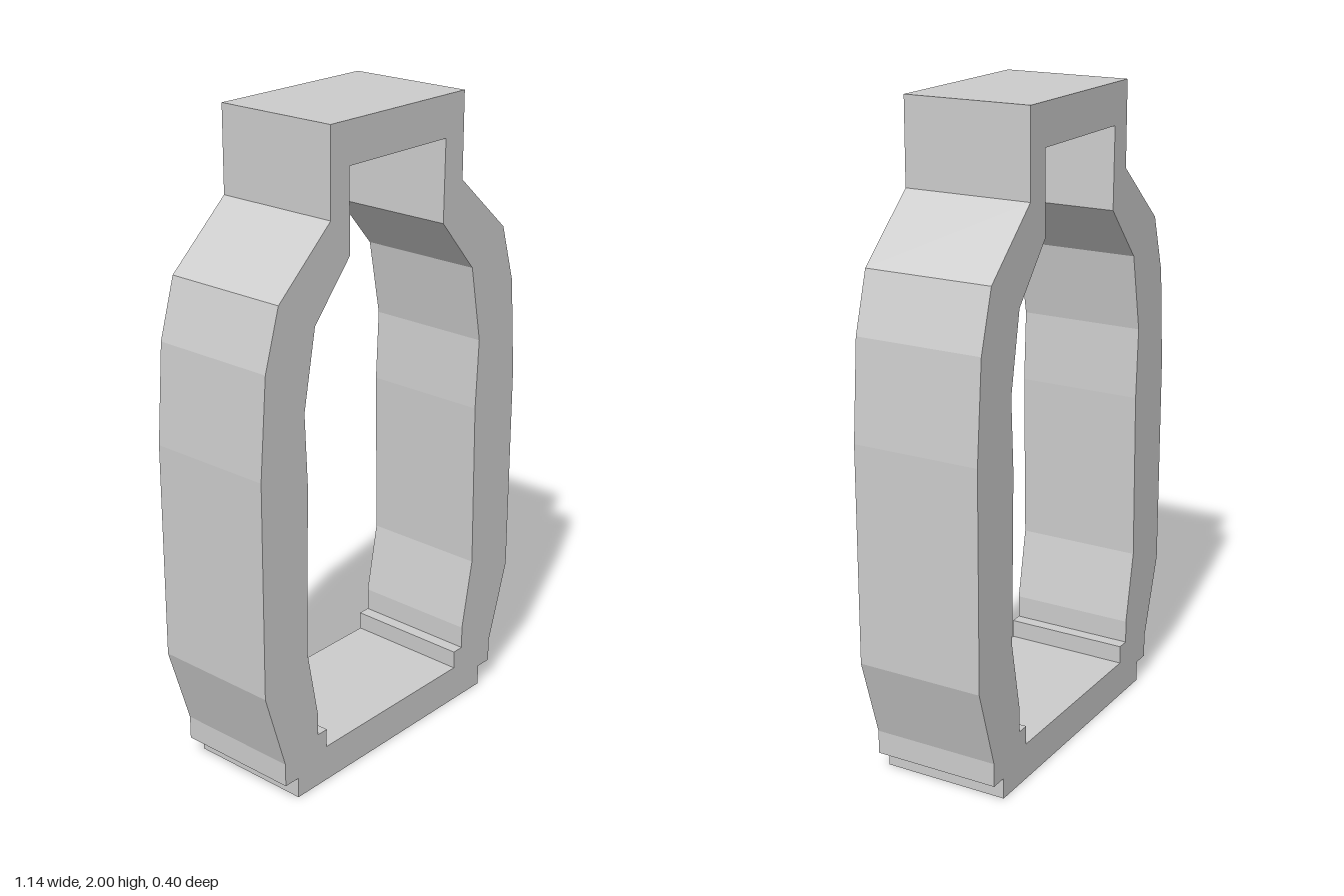
import * as THREE from 'three';

// Right half of each outline, bottom to top
const outer = [
  [0.437, 0], [0.437, 0.066], [0.491, 0.066], [0.491, 0.14], [0.57, 0.395],
  [0.57, 1.07], [0.546, 1.375], [0.492, 1.555], [0.285, 1.74], [0.285, 2],
];
const inner = [
  [0.309, 0.116], [0.307, 0.175], [0.347, 0.175], [0.346, 0.248], [0.389, 0.47],
  [0.381, 1.0], [0.392, 1.22], [0.347, 1.46], [0.203, 1.627], [0.207, 1.875],
];

// Closes a half outline by mirroring it; shift moves it sideways
function mirrored(half, shift = 0) {
  const left = half.map(([x, y]) => [-x, y]).reverse();
  return [...half, ...left].map(([x, y]) => new THREE.Vector2(x + shift, y));
}

export function createModel() {
  const group = new THREE.Group();
  group.name = 'bottleFrame';
  const depth = 0.4;

  // Bottle-shaped band, open through the middle
  const shape = new THREE.Shape(mirrored(outer));
  shape.holes.push(new THREE.Path(mirrored(inner, -0.003)));
  const geometry = new THREE.ExtrudeGeometry(shape, { depth, bevelEnabled: false });
  geometry.translate(0, 0, -depth / 2);

  const frame = new THREE.Mesh(
    geometry,
    new THREE.MeshStandardMaterial({ color: 0xcccccc, flatShading: true }),
  );
  frame.name = 'bottleOutline';
  group.add(frame);
  return group;
}
